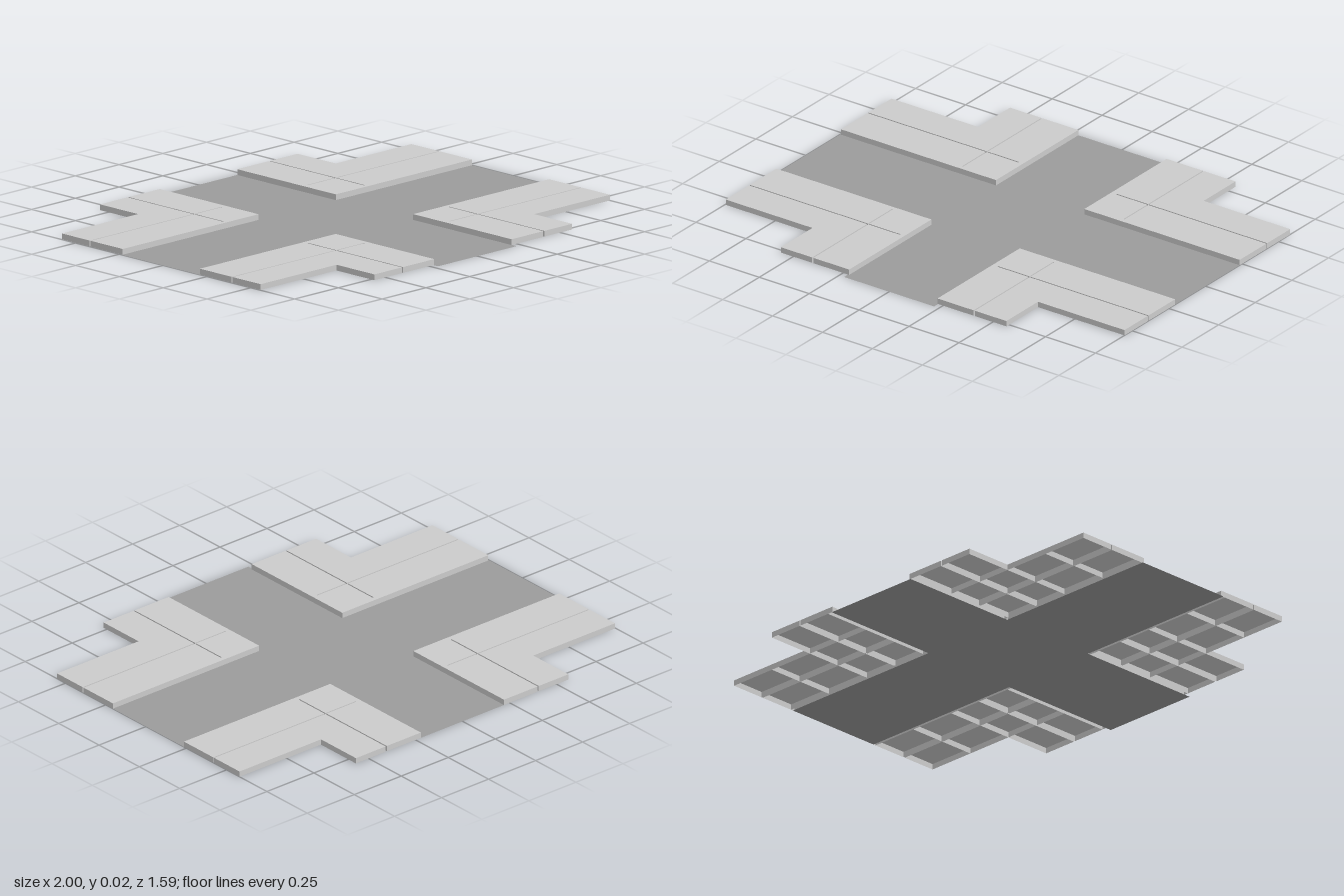
import * as THREE from 'three';

const H = 0.024; // pavement height
const paving = new THREE.MeshStandardMaterial({ color: 0xcccccc, flatShading: true, side: THREE.DoubleSide });
const asphalt = new THREE.MeshStandardMaterial({ color: 0x9b9b9b, side: THREE.DoubleSide });

// Shallow box with no underside, spanning x0..x1 and z0..z1
function openSlab(name, x0, x1, z0, z1) {
  const geo = new THREE.BoxGeometry(Math.abs(x1 - x0), H, Math.abs(z1 - z0));
  const index = Array.from(geo.index.array);
  index.splice(18, 6); // drop the bottom face
  geo.setIndex(index);
  geo.clearGroups();
  const mesh = new THREE.Mesh(geo, paving);
  mesh.position.set((x0 + x1) / 2, H / 2, (z0 + z1) / 2);
  mesh.name = name;
  return mesh;
}

// L-shaped corner of paving slabs with a kerb along both road edges
function pavementCorner(name, sx, sz, xs, zs) {
  const corner = new THREE.Group();
  corner.name = name;
  const gap = 0.003; // half the joint between slab rows
  for (let i = 0; i < 4; i++) {
    for (let j = 0; j < 3; j++) {
      if (i > 1 && j > 1) continue; // outer corner of the L stays empty
      const x0 = xs[i + 1] + (i === 1 ? gap : 0), x1 = xs[i + 2] - (i === 0 ? gap : 0);
      const z0 = zs[j + 1] + (j === 1 ? gap : 0), z1 = zs[j + 2] - (j === 0 ? gap : 0);
      corner.add(openSlab('pavingSlab', sx * x0, sx * x1, sz * z0, sz * z1));
    }
  }
  corner.add(openSlab('kerbAlongX', sx * xs[0], sx * xs[5], sz * zs[0], sz * zs[1]));
  corner.add(openSlab('kerbAlongZ', sx * xs[0], sx * xs[1], sz * zs[1], sz * zs[4]));
  return corner;
}

export function createModel() {
  const model = new THREE.Group();
  model.name = 'crossroads';

  // Flat cross-shaped road surface (shape y becomes -z)
  const w = 0.225, zb = 0.245, zf = -0.215;
  const outline = [
    [-w, -0.795], [w, -0.795], [w, zf], [1, zf], [1, zb], [w, zb],
    [w, 0.797], [-w, 0.797], [-w, zb], [-1, zb], [-1, zf], [-w, zf],
  ].map(([x, y]) => new THREE.Vector2(x, y));
  const road = new THREE.Mesh(new THREE.ShapeGeometry(new THREE.Shape(outline)), asphalt);
  road.rotation.x = -Math.PI / 2;
  road.name = 'road';
  model.add(road);

  // Distances from the centre: kerb edge, kerb back, then slab joints
  const xLeft = [0.222, 0.246, 0.406, 0.567, 0.784, 1.0];
  const xRight = [0.22, 0.242, 0.402, 0.562, 0.78, 0.996];
  const zBack = [0.235, 0.255, 0.42, 0.58, 0.797];
  const zFront = [0.206, 0.227, 0.39, 0.552, 0.768];
  model.add(
    pavementCorner('backLeftPavement', 1, -1, xLeft, zBack),
    pavementCorner('backRightPavement', -1, -1, xRight, zBack),
    pavementCorner('frontLeftPavement', 1, 1, xLeft, zFront),
    pavementCorner('frontRightPavement', -1, 1, xRight, zFront),
  );
  return model;
}
